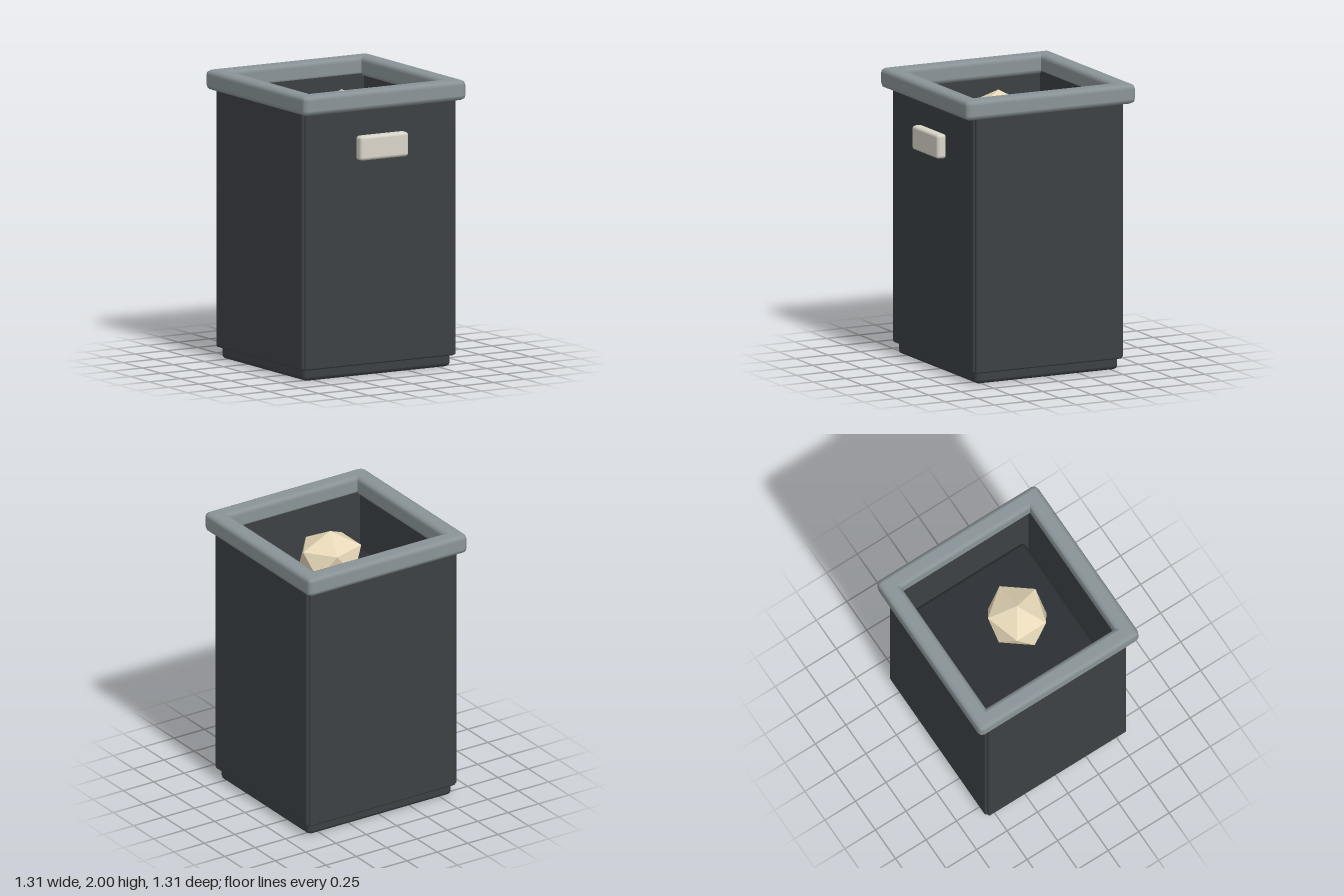
import * as THREE from 'three';
import { RoundedBoxGeometry } from 'three/addons/geometries/RoundedBoxGeometry.js';

const mat = (color, extra = {}) => new THREE.MeshStandardMaterial({ color, ...extra });

export function createModel() {
  const group = new THREE.Group();
  const shell = mat(0x3c4044);
  const dark = mat(0x2b2f33);
  const metal = mat(0x8a9498);
  const cream = mat(0xd9d5c9);
  const paper = mat(0xe6d8b8, { flatShading: true });

  // Softly bevelled box, given by its size and centre
  function box(name, [w, h, d], [x, y, z], radius, material) {
    const mesh = new THREE.Mesh(new RoundedBoxGeometry(w, h, d, 1, radius), material);
    mesh.name = name;
    mesh.position.set(x, y, z);
    group.add(mesh);
  }

  // Plinth under the walls
  box('base', [1.18, 0.14, 1.1], [0, 0.07, 0], 0.03, shell);

  // Four wall panels and the four bars of the rim
  for (const s of [1, -1]) {
    const end = s > 0 ? 'front' : 'back';
    const side = s > 0 ? 'left' : 'right';
    box(end + 'Wall', [1.2, 1.84, 0.05], [0, 1.0, s * 0.555], 0.012, shell);
    box(side + 'Wall', [0.07, 1.84, 1.13], [s * 0.585, 1.0, 0], 0.012, shell);
    box(end + 'Rim', [1.31, 0.14, 0.13], [0, 1.93, s * 0.59], 0.035, metal);
    box(side + 'Rim', [0.13, 0.14, 1.31], [s * 0.59, 1.93, 0], 0.035, metal);
  }

  // Dark filling inside
  box('filling', [0.98, 1.4, 0.9], [0, 0.82, 0], 0.025, dark);

  // Label plate on the front
  box('frontPlate', [0.39, 0.17, 0.08], [0, 1.595, 0.605], 0.022, cream);

  // Crumpled paper ball: squashed icosahedron standing on a corner
  const ball = new THREE.Mesh(new THREE.IcosahedronGeometry(1, 0), paper);
  ball.name = 'paperBall';
  // Turn one corner straight up, then aim a corner of the upper ring at +x
  const corner = new THREE.Vector3(0, 1, (1 + Math.sqrt(5)) / 2).normalize();
  const up = new THREE.Vector3(0, 1, 0);
  ball.geometry.applyQuaternion(new THREE.Quaternion().setFromUnitVectors(corner, up));
  const p = ball.geometry.attributes.position;
  for (let i = 0; i < p.count; i++) {
    if (Math.abs(p.getY(i) - 0.447) < 0.01) {
      ball.geometry.rotateY(Math.atan2(p.getZ(i), p.getX(i)));
      break;
    }
  }
  ball.geometry.scale(0.246, 0.19, 0.229);
  ball.geometry.computeVertexNormals();
  ball.position.set(0, 1.72, 0.075);
  group.add(ball);

  return group;
}
